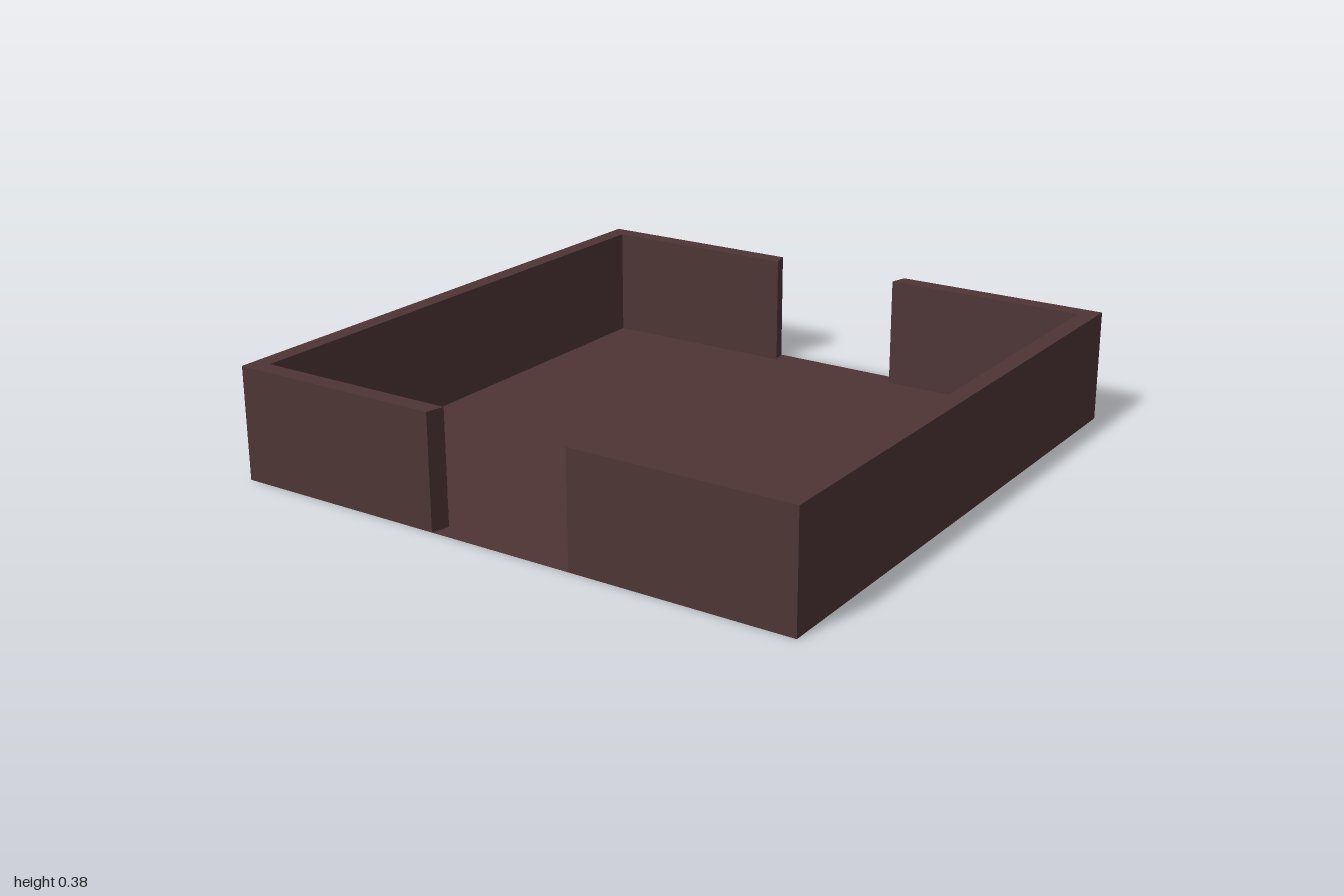
import * as THREE from 'three';

const H = 0.38;      // wall height
const OUT = 1;       // outer half width
const INN = 0.94;    // inner half width
const GAP_OUT = 0.252, GAP_IN = 0.237; // half width of the openings, slightly splayed

const brown = new THREE.MeshStandardMaterial({ color: 0x4e3535, side: THREE.DoubleSide });
brown.name = 'darkBrown';

// Horizontal plate from plan points (x, -z), facing up
function plate(points, y) {
  const g = new THREE.ShapeGeometry(new THREE.Shape(points));
  return g.rotateX(-Math.PI / 2).translate(0, y, 0);
}

// Upright faces along a closed counter-clockwise plan outline
function uprights(points, height) {
  const pos = [];
  points.forEach((a, i) => {
    const b = points[(i + 1) % points.length];
    const a0 = [a.x, 0, -a.y], b0 = [b.x, 0, -b.y];
    const a1 = [a.x, height, -a.y], b1 = [b.x, height, -b.y];
    pos.push(...a0, ...b0, ...b1, ...a0, ...b1, ...a1);
  });
  const g = new THREE.BufferGeometry();
  g.setAttribute('position', new THREE.Float32BufferAttribute(pos, 3));
  g.computeVertexNormals();
  return g;
}

function part(name, geometry) {
  const mesh = new THREE.Mesh(geometry, brown);
  mesh.name = name;
  return mesh;
}

const toPoints = (list) => list.map(([x, y]) => new THREE.Vector2(x, y));

export function createModel() {
  const group = new THREE.Group();
  group.name = 'walledTray';

  // C-shaped half of the wall, hollow and open underneath
  const half = toPoints([
    [GAP_OUT, -OUT], [OUT, -OUT], [OUT, OUT], [GAP_OUT, OUT],
    [GAP_IN, INN], [INN, INN], [INN, -INN], [GAP_IN, -INN],
  ]);
  for (const [name, turn] of [['leftWall', 0], ['rightWall', Math.PI]]) {
    const wall = new THREE.Group();
    wall.name = name;
    wall.add(part('wallFaces', uprights(half, H)), part('wallRim', plate(half, H)));
    wall.rotation.y = turn;
    group.add(wall);
  }

  // Thin floor inside the walls, running out through both openings
  const floor = toPoints([
    [-INN, -INN], [-GAP_IN, -INN], [-GAP_OUT, -OUT], [GAP_OUT, -OUT], [GAP_IN, -INN], [INN, -INN],
    [INN, INN], [GAP_IN, INN], [GAP_OUT, OUT], [-GAP_OUT, OUT], [-GAP_IN, INN], [-INN, INN],
  ]);
  group.add(part('floor', plate(floor, 0)));

  return group;
}
